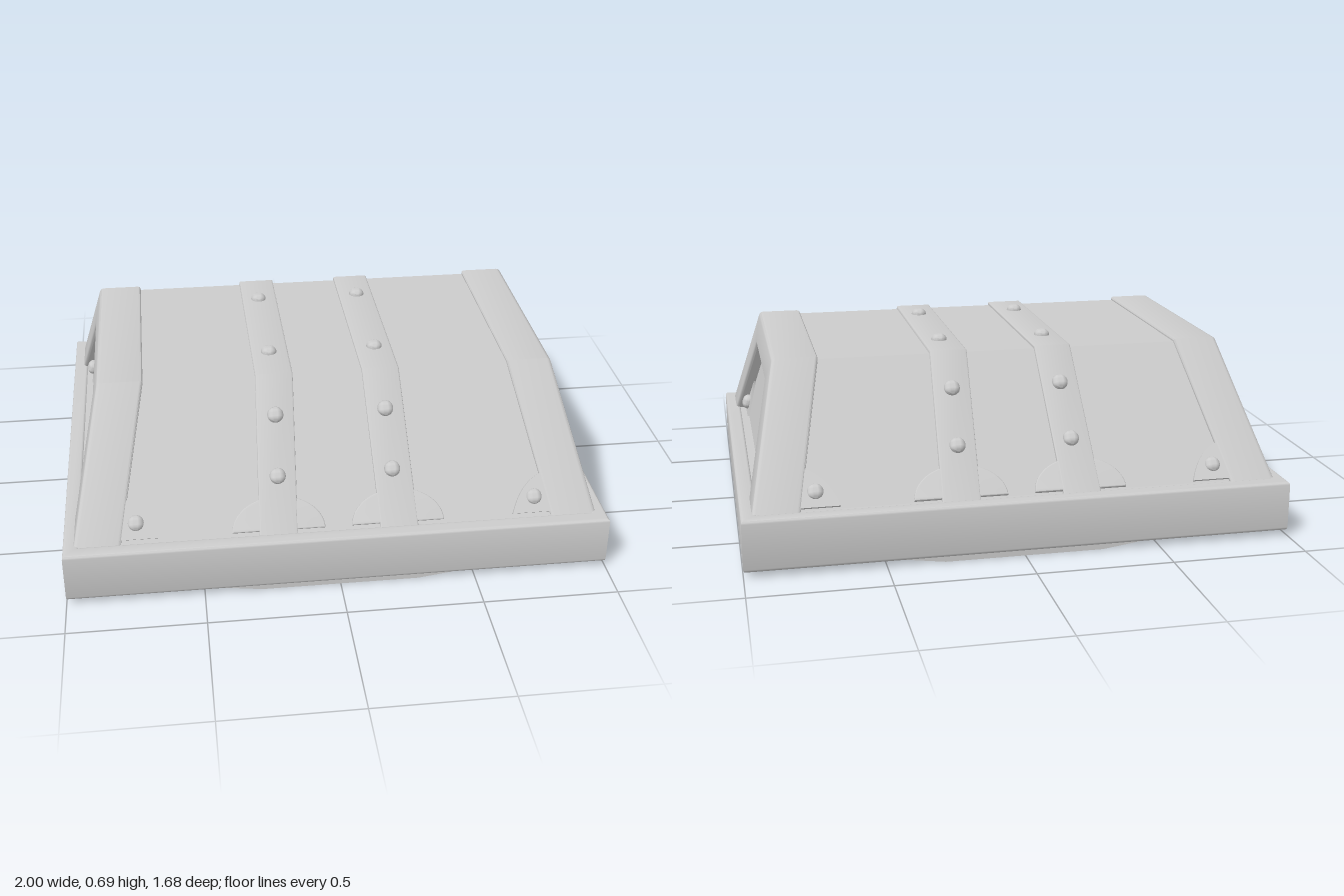
import * as THREE from 'three';
import { toCreasedNormals } from 'three/addons/utils/BufferGeometryUtils.js';

const material = new THREE.MeshStandardMaterial({ color: 0xcccccc });
const RIM_TOP = 0.21, END_LEAN = 0.24;
const SLOPE_RUN = 0.37 / 0.458; // z lost per unit of height on the sloping sides

function mesh(name, geometry) {
  const m = new THREE.Mesh(toCreasedNormals(geometry, 0.6), material);
  m.name = name;
  return m;
}

function polygon(points) {
  return new THREE.Shape(points.map(([x, y]) => new THREE.Vector2(x, y)));
}

// Extrusion whose bevel stays inside the given outline and depth
function extrude(shape, depth, bevel) {
  return new THREE.ExtrudeGeometry(shape, {
    depth: depth - 2 * bevel, bevelEnabled: bevel > 0, bevelSize: bevel, bevelThickness: bevel,
    bevelOffset: -bevel, bevelSegments: 3, curveSegments: 16,
  }).translate(0, 0, bevel);
}

// Side profile (z, y) swept along x from 0 to width
function sweep(shape, width, bevel) {
  return extrude(shape, width, bevel).rotateY(Math.PI / 2);
}

// Shift x by a rule depending on x and height above the rim
function lean(geometry, rule) {
  const p = geometry.attributes.position;
  for (let i = 0; i < p.count; i++) p.setX(i, rule(p.getX(i), p.getY(i) - RIM_TOP));
  return geometry;
}

const outerProfile = [[-0.79, 0.198], [0.79, 0.198], [0.41, 0.668], [-0.41, 0.668]];

function rivet() {
  return mesh('rivet', new THREE.SphereGeometry(0.03, 20, 12).scale(1, 1, 0.8));
}

// Quarter of a disc filling the corner at the origin, toward -x and +y
function gusset(slant) {
  const s = new THREE.Shape();
  s.moveTo(0, 0);
  s.lineTo(slant, 0.15);
  s.quadraticCurveTo(-0.11, 0.12, -0.15, 0);
  s.closePath();
  return mesh('cornerPlate', extrude(s, 0.02, 0));
}

// Fittings on one sloping side, facing +z
function sideFittings() {
  const side = new THREE.Group();
  side.name = 'slopeFittings';
  const place = (m, x, y, zBase) => {
    m.position.set(x, y, zBase - (y - RIM_TOP) * SLOPE_RUN);
    m.rotation.x = -Math.atan(SLOPE_RUN);
    side.add(m);
  };
  for (const s of [-1, 1]) {
    // Rounded foot plate at the end of each strap
    const foot = new THREE.Shape();
    foot.absellipse(0, 0, 0.17, 0.125, 0, Math.PI, false, 0);
    foot.closePath();
    place(mesh('strapFoot', extrude(foot, 0.02, 0.004)), s * 0.22, RIM_TOP - 0.005, 0.753);
    place(rivet(), s * 0.212, 0.372, 0.78);
    place(rivet(), s * 0.205, 0.548, 0.78);
    // Corner plate and its rivet
    const plate = gusset(-0.02);
    if (s < 0) plate.geometry.rotateY(Math.PI).translate(0, 0, 0.02);
    place(plate, s * 0.8, RIM_TOP - 0.005, 0.75);
    place(rivet(), s * 0.735, 0.26, 0.768);
  }
  return side;
}

// Leaning arch and fittings of one end, facing +x
function endAssembly() {
  const end = new THREE.Group();
  end.name = 'end';
  const arch = polygon([[0.79, 0.198], [0.41, 0.668], [-0.41, 0.668], [-0.79, 0.198],
    [-0.6, 0.198], [-0.31, 0.56], [0.31, 0.56], [0.6, 0.198]]);
  const g = lean(sweep(arch, 0.17, 0.014), (x, h) => x + 0.79 - END_LEAN * h);
  end.add(mesh('endArch', g));
  for (const s of [-1, 1]) {
    const holder = new THREE.Group();
    holder.name = 'endCorner';
    holder.rotation.set(0, Math.PI / 2, Math.atan(END_LEAN), 'ZYX');
    holder.position.set(0.9, RIM_TOP - 0.005, 0);
    const plate = gusset(-0.12);
    if (s < 0) plate.geometry.rotateY(Math.PI).translate(0, 0, 0.02);
    plate.position.x = s * 0.585;
    const stud = rivet();
    stud.position.set(s * 0.487, 0.05, 0.025);
    holder.add(plate, stud);
    end.add(holder);
  }
  return end;
}

export function createModel() {
  const model = new THREE.Group();
  model.name = 'chestLid';

  // Rim, open below, closed by a panel near its top
  const rect = (w, d) => [[-w, -d], [w, -d], [w, d], [-w, d]];
  const rimShape = polygon(rect(1, 0.84));
  rimShape.holes.push(polygon(rect(0.94, 0.78)));
  model.add(mesh('rim', extrude(rimShape, 0.19, 0.012).rotateX(-Math.PI / 2).translate(0, 0.02, 0)));
  model.add(mesh('innerPanel', new THREE.BoxGeometry(1.92, 0.02, 1.6).translate(0, 0.195, 0)));

  // Shallow lips under the front and back of the rim
  const lip = polygon([[-0.45, 0.022], [-0.29, 0], [0.29, 0], [0.45, 0.022]]);
  for (const s of [-1, 1]) {
    model.add(mesh('lowerLip', extrude(lip, 0.04, 0).translate(0, 0, s * 0.81 - 0.02)));
  }

  // Main covering with leaning end panels
  const bodyShape = polygon([[-0.77, 0.198], [0.77, 0.198], [0.402, 0.656], [-0.402, 0.656]]);
  const body = sweep(bodyShape, 1.82, 0).translate(-0.91, 0, 0);
  model.add(mesh('body', lean(body, (x, h) => x - Math.sign(x) * END_LEAN * h)));

  for (const s of [-1, 1]) {
    // Straps over the body, spreading slightly toward the rim
    const strap = sweep(polygon(outerProfile), 0.14, 0.006).translate(-0.07, 0, 0);
    model.add(mesh('strap', lean(strap, (x, h) => x + s * (0.222 - 0.05 * h))));
    for (const z of [-0.235, 0.235]) {
      const stud = rivet();
      stud.rotation.x = -Math.PI / 2;
      stud.position.set(s * 0.203, 0.668, z);
      model.add(stud);
    }
    // Front and back, left and right
    const side = sideFittings();
    const end = endAssembly();
    side.rotation.y = end.rotation.y = s > 0 ? 0 : Math.PI;
    model.add(side, end);
  }
  return model;
}
